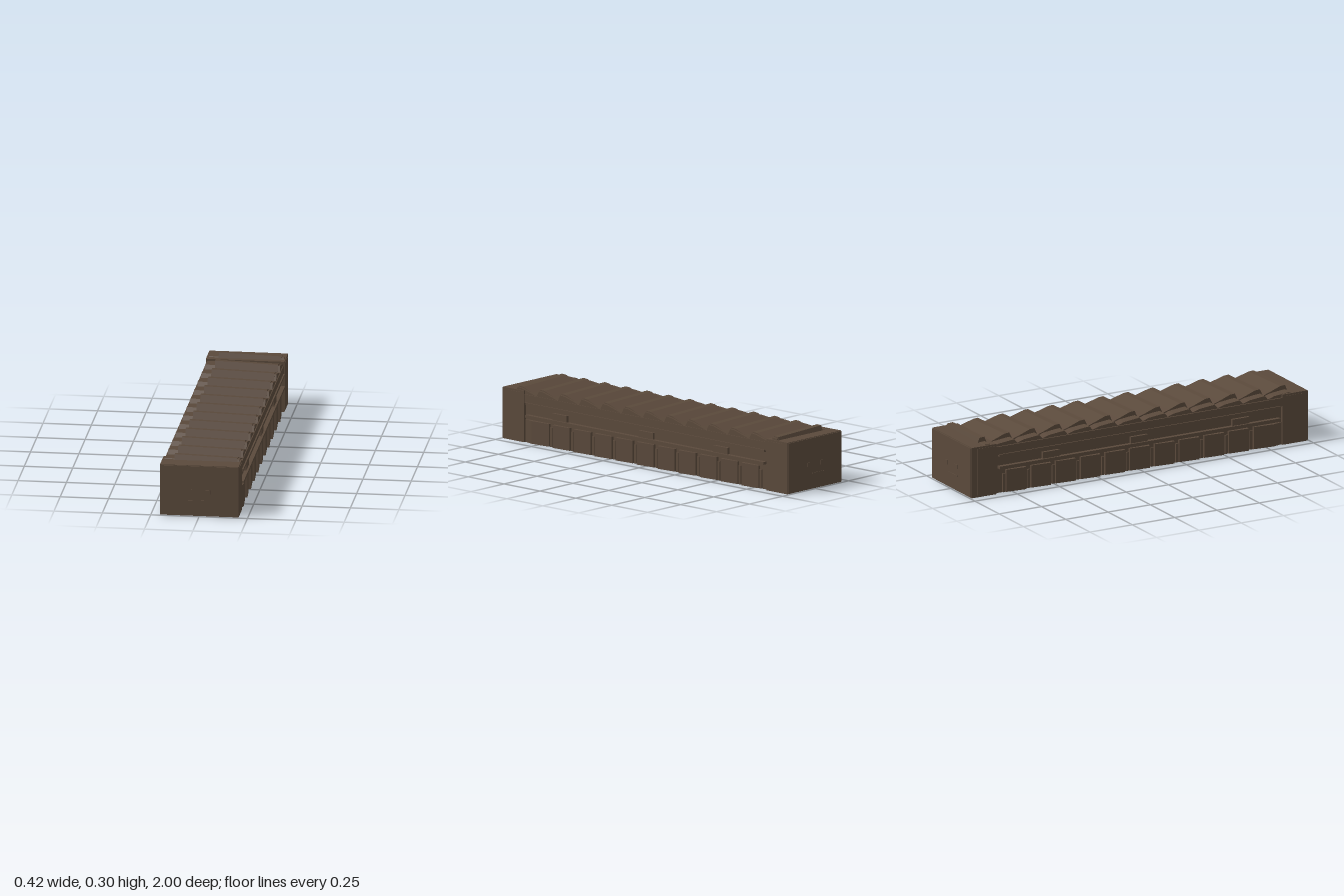
import * as THREE from 'three';

export function createModel() {
  const model = new THREE.Group();
  const brown = new THREE.MeshStandardMaterial({ color: 0x5a493b, flatShading: true });
  brown.name = 'dark brown';

  const add = (name, geometry) => {
    const mesh = new THREE.Mesh(geometry, brown);
    mesh.name = name;
    model.add(mesh);
    return mesh;
  };
  const box = (name, w, h, d, x, y, z) => {
    const mesh = add(name, new THREE.BoxGeometry(w, h, d));
    mesh.position.set(x, y, z);
    return mesh;
  };

  const pitch = 0.148, count = 13, firstRidge = 0.886;

  // Recessed core, with the upper wall above it
  box('core', 0.37, 0.25, 1.72, 0, 0.127, 0);
  box('upperWall', 0.4, 0.044, 1.72, 0, 0.232, 0);

  // Solid blocks at both ends, slightly domed on the outer face
  for (const s of [1, -1]) {
    box('endBlock', 0.406, 0.27, 0.146, 0, 0.138, s * 0.918);
    box('endFace', 0.4, 0.264, 0.006, 0, 0.138, s * 0.994);
    box('endRelief', 0.09, 0.006, 0.004, -0.02, 0.085, s * 0.998);
    for (const x of [-0.05, 0.045]) {
      box('endRelief', 0.025, 0.022, 0.005, x, 0.134, s * 0.9975);
    }
  }

  // Lower tier: plan outline of slanted panels parted by narrow grooves
  const side = [];
  for (let i = 0; i < 11; i++) {
    const z = 0.79 - i * 0.146;
    side.push([0.204, z], [0.196, z - 0.112], [0.178, z - 0.116], [0.178, z - 0.142]);
  }
  const plan = new THREE.Shape();
  plan.moveTo(0.19, -0.85);
  side.forEach(([x, z]) => plan.lineTo(x, -z));
  plan.lineTo(0.19, 0.85);
  plan.lineTo(-0.19, 0.85);
  side.slice().reverse().forEach(([x, z]) => plan.lineTo(-x, -z));
  plan.lineTo(-0.19, -0.85);
  const tier = new THREE.ExtrudeGeometry(plan, { depth: 0.119, bevelEnabled: false });
  tier.rotateX(-Math.PI / 2);
  add('lowerPanels', tier).position.y = 0.003;

  // Rails, thin posts and small blocks along both long sides
  for (const s of [1, -1]) {
    box('lowerRail', 0.022, 0.014, 1.66, s * 0.198, 0.142, 0);
    box('upperRail', 0.018, 0.012, 1.66, s * 0.198, 0.207, 0);
    for (const z of [0.6, 0, -0.52]) {
      box('sideBlock', 0.016, 0.034, 0.1, s * 0.191, 0.166, z);
    }
    for (let i = 0; i < 11; i++) {
      box('sidePost', 0.012, 0.1, 0.014, s * 0.187, 0.053, 0.665 - i * 0.146);
    }
    for (const e of [1, -1]) {
      box('cornerPlate', 0.004, 0.25, 0.1, s * 0.203, 0.138, e * 0.91);
    }
  }

  // Stepped roof slab: ridge section swept across x, steep towards the front
  const ridgeSlab = (name, x0, x1, peak, valley, drop) => {
    const profile = new THREE.Shape();
    const last = firstRidge - (count - 1) * pitch;
    profile.moveTo(firstRidge + 0.03, 0.24);
    for (let i = 0; i < count; i++) {
      const z = firstRidge - i * pitch;
      profile.lineTo(z + 0.026, valley);
      profile.lineTo(z + 0.008, peak);
      profile.lineTo(z - 0.02, peak - 0.002);
      if (i < count - 1) profile.lineTo(z - 0.085, valley + 0.012);
    }
    profile.lineTo(last - 0.035, valley);
    profile.lineTo(last - 0.035, 0.24);
    const g = new THREE.ExtrudeGeometry(profile, { depth: x1 - x0, bevelEnabled: false });
    g.rotateY(-Math.PI / 2);
    g.translate(x1, 0, 0);
    // Lower the roof gently towards +x
    const p = g.attributes.position;
    for (let i = 0; i < p.count; i++) {
      p.setY(i, p.getY(i) - drop * (p.getX(i) - x0) / (x1 - x0));
    }
    g.computeVertexNormals();
    add(name, g);
  };
  ridgeSlab('roofRidges', -0.14, 0.185, 0.3, 0.262, 0.01);
  ridgeSlab('roofLedge', -0.192, -0.14, 0.277, 0.256, 0);
  ridgeSlab('roofEdge', 0.185, 0.196, 0.284, 0.252, 0);

  return model;
}
